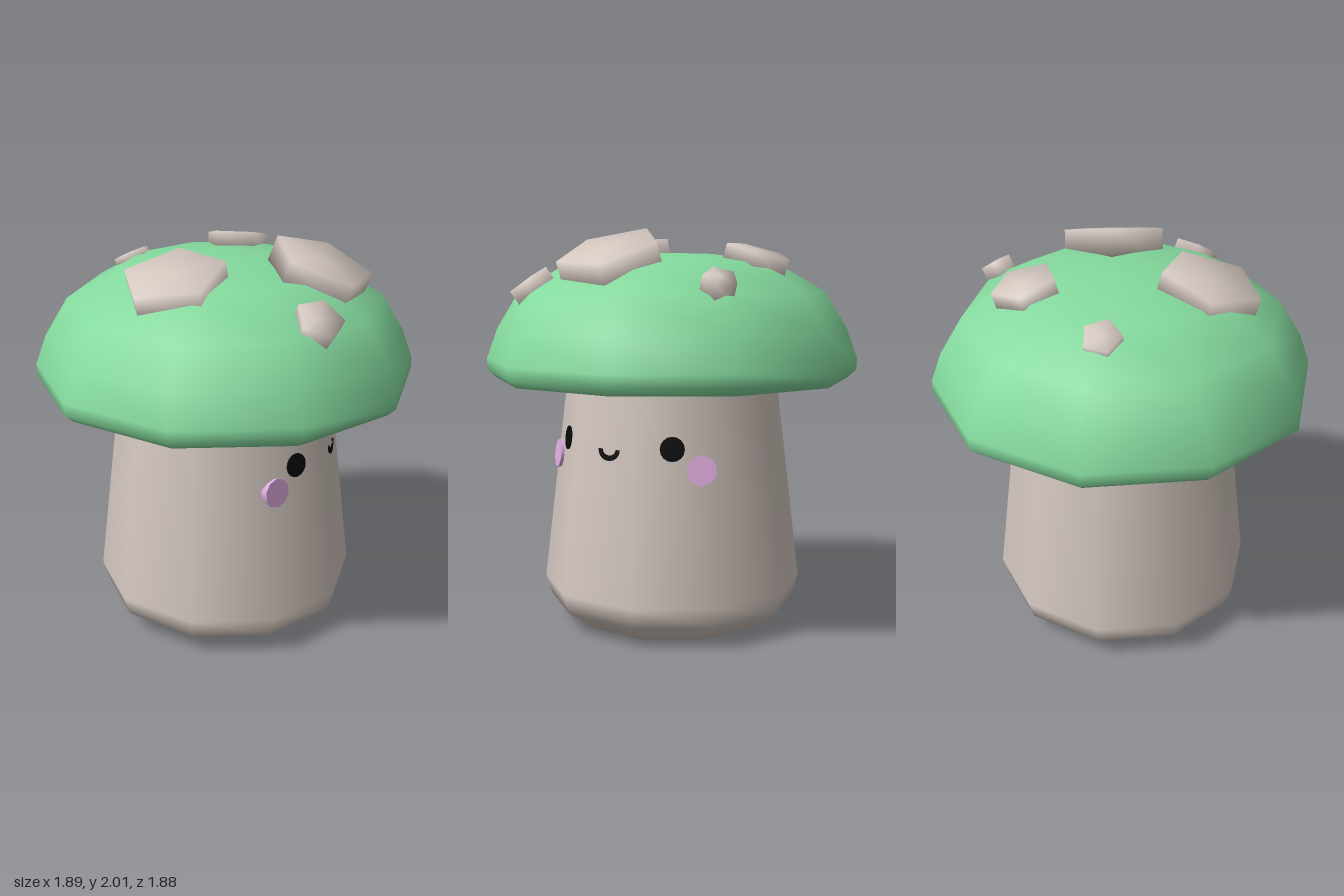
import * as THREE from 'three';

const material = (name, color) => {
  const m = new THREE.MeshStandardMaterial({ color });
  m.name = name;
  return m;
};

const TURN = THREE.MathUtils.degToRad(9.5); // shared twist of the ten-sided parts

// Low-sided turned solid with smooth normals
function turned(points, sides, start) {
  return new THREE.LatheGeometry(points.map(([r, y]) => new THREE.Vector2(r, y)), sides, start);
}

export function createModel() {
  const model = new THREE.Group();
  model.name = 'mushroom';
  const green = material('cap green', 0x84d99d);
  const beige = material('stalk beige', 0xd3c7bf);
  const pink = material('cheek pink', 0xdfabdf);
  const black = material('face black', 0x080808);

  function add(name, geometry, mat, parent = model) {
    const mesh = new THREE.Mesh(geometry, mat);
    mesh.name = name;
    parent.add(mesh);
    return mesh;
  }

  // Stalk and cap
  add('stalk', turned([[0, 0], [0.475, 0], [0.637, 0.11], [0.667, 0.21], [0.54, 1.26], [0.53, 1.35]], 10, TURN), beige);
  add('cap', turned([
    [0, 1.26], [0.91, 1.26], [0.955, 1.30], [0.955, 1.36], [0.9, 1.51],
    [0.785, 1.70], [0.52, 1.85], [0.2, 1.89], [0, 1.895],
  ], 10, TURN), green);

  // Five-sided spots: top centre, radius, depth, lean in x and z, direction of one corner
  const spots = [
    [0.49, 1.92, -0.07, 0.262, 0.14, 0.38, -0.04, -Math.PI / 2],
    [-0.075, 1.91, 0.425, 0.255, 0.13, -0.04, 0.27, -Math.PI / 2],
    [-0.145, 1.905, -0.46, 0.165, 0.1, -0.08, -0.27, -Math.PI / 2],
    [0.635, 1.77, 0.36, 0.118, 0.11, 0.55, 0.4, -Math.PI / 2],
    [0.355, 1.785, -0.67, 0.085, 0.11, 0.3, -0.55, -Math.PI / 2],
    [-0.565, 1.845, -0.065, 0.097, 0.07, -0.5, -0.05, 0],
  ];
  const up = new THREE.Vector3(0, 1, 0);
  for (const [x, y, z, r, depth, nx, nz, start] of spots) {
    const spot = add('spot', turned([[0, -depth], [r, -depth], [r, 0], [0, 0.005]], 5, start), beige);
    spot.position.set(x, y, z);
    spot.quaternion.setFromUnitVectors(up, new THREE.Vector3(nx, 1, nz).normalize());
  }

  // Seats a part flat on a stalk side; angle runs from +x towards +z
  function onStalk(mesh, degrees, side, y, out) {
    const a = THREE.MathUtils.degToRad(degrees);
    const d = (0.667 - 0.121 * (y - 0.21)) * Math.cos(Math.PI / 10) + out;
    mesh.position.set(d * Math.cos(a) - side * Math.sin(a), y, d * Math.sin(a) + side * Math.cos(a));
    mesh.rotation.set(-0.115, Math.PI / 2 - a, 0, 'YXZ');
  }
  const disc = (r, depth, sides) => new THREE.CylinderGeometry(r, r, depth, sides).rotateX(Math.PI / 2);

  // Eyes and cheeks, mirrored about the stalk side that carries the mouth
  for (const s of [1, -1]) {
    const prefix = s > 0 ? 'left' : 'right';
    onStalk(add(prefix + 'Eye', disc(0.06, 0.009, 16), black), -9.5 + s * 36, 0, 0.97, 0.002);
    onStalk(add(prefix + 'Cheek', disc(0.073, 0.045, 10), pink), -9.5 + s * 36, s * 0.14, 0.868, -0.006);
  }

  // Smile: thin crescent
  const smile = new THREE.Shape();
  smile.moveTo(-0.063, 0.024);
  smile.absellipse(0, 0.024, 0.063, 0.056, Math.PI, Math.PI * 2, false);
  smile.lineTo(0.042, 0.024);
  smile.absellipse(0, 0.024, 0.042, 0.03, Math.PI * 2, Math.PI, true);
  smile.closePath();
  const mouth = new THREE.ExtrudeGeometry(smile, { depth: 0.008, bevelEnabled: false, curveSegments: 12 });
  onStalk(add('mouth', mouth, black), -9.5, -0.025, 0.932, -0.002);

  return model;
}
